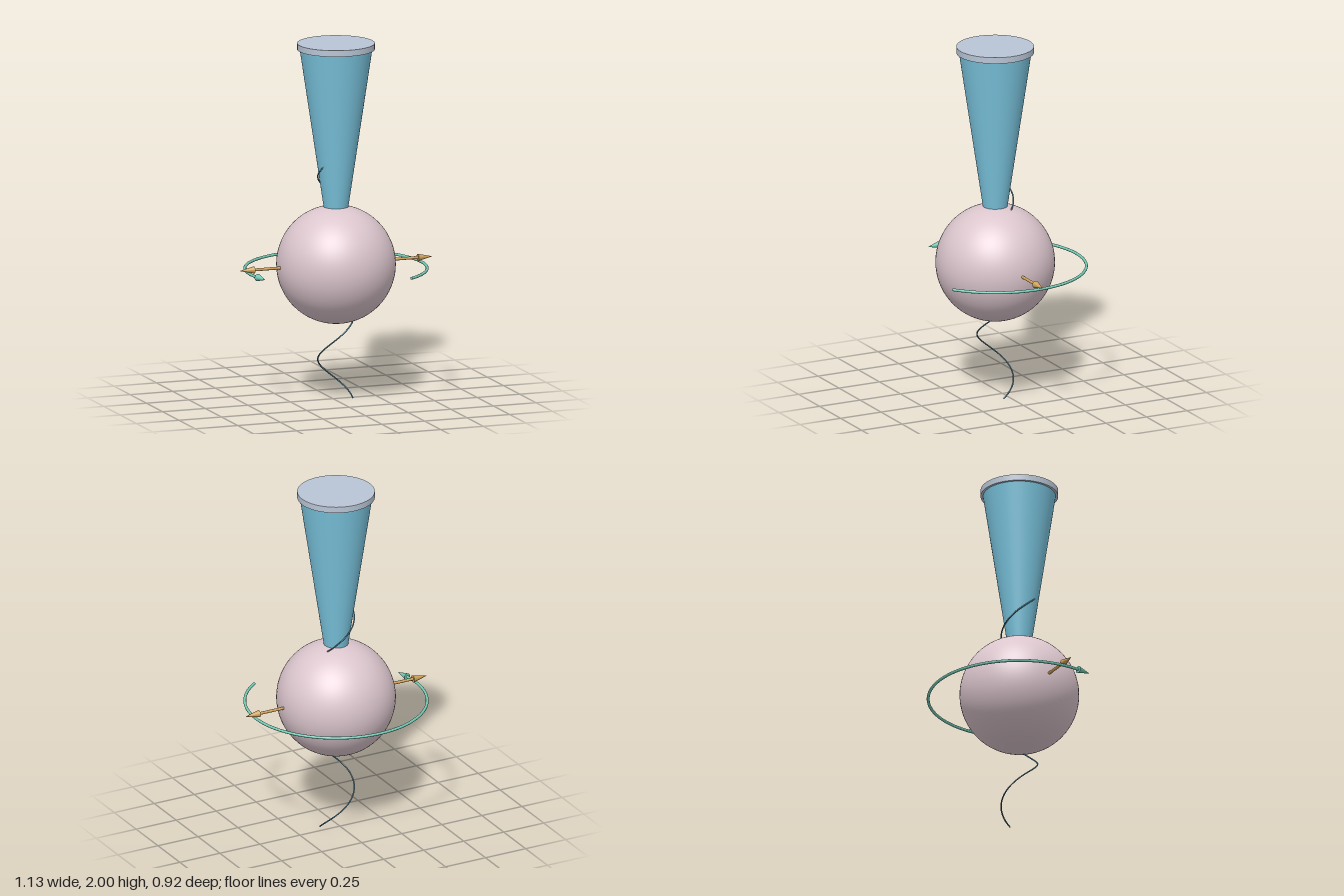
import * as THREE from 'three';

const CZ = 0.045; // common vertical axis lies at z = CZ
const UP = new THREE.Vector3(0, 1, 0);

function material(name, color) {
  const m = new THREE.MeshStandardMaterial({ color });
  m.name = name;
  return m;
}

// Smooth path given by a function of t in 0..1
class PathCurve extends THREE.Curve {
  constructor(fn) {
    super();
    this.fn = fn;
  }
  getPoint(t, target = new THREE.Vector3()) {
    return target.set(...this.fn(t));
  }
}

export function createModel() {
  const pink = material('pale pink', 0xdcc6ce);
  const blue = material('sky blue', 0x7ac4de);
  const grey = material('blue grey', 0xb9c5d5);
  const gold = material('gold', 0xd0a25c);
  const teal = material('teal', 0x74cbb6);
  const slate = material('slate blue', 0x55859a);

  const model = new THREE.Group();
  model.name = 'model';
  const axis = new THREE.Group();
  axis.name = 'axisGroup';
  axis.position.z = CZ;
  model.add(axis);

  function add(name, geometry, mat, parent = axis) {
    const mesh = new THREE.Mesh(geometry, mat);
    mesh.name = name;
    parent.add(mesh);
    return mesh;
  }

  // Arrow head with its base at a point, aimed along a direction
  function arrowHead(name, mat, base, direction, length, parent = axis) {
    const geometry = new THREE.ConeGeometry(0.02, length, 32).translate(0, length / 2, 0);
    const head = add(name, geometry, mat, parent);
    head.position.copy(base);
    head.quaternion.setFromUnitVectors(UP, direction);
  }

  // Ball
  add('ball', new THREE.SphereGeometry(0.328, 64, 48), pink).position.y = 0.763;

  // Flaring beam on top of the ball, closed by a disc
  add('beam', new THREE.CylinderGeometry(0.2, 0.068, 0.885, 64), blue).position.y = 1.5275;
  add('disc', new THREE.CylinderGeometry(0.213, 0.213, 0.035, 64), grey).position.y = 1.9825;

  // Helical thread rising through the ball into the beam
  const turns = 3, pitch = 0.511;
  const helix = new PathCurve((t) => {
    const a = t * turns * Math.PI * 2;
    return [0.1 * Math.cos(a), 0.004 + t * turns * pitch, -0.1 * Math.sin(a)];
  });
  add('helixThread', new THREE.TubeGeometry(helix, 240, 0.004, 8), slate);

  // Pair of sideways arrows
  for (const side of [1, -1]) {
    const arrow = new THREE.Group();
    arrow.name = side > 0 ? 'leftArrow' : 'rightArrow';
    axis.add(arrow);
    const shaft = add('arrowShaft', new THREE.CylinderGeometry(0.008, 0.008, 0.19, 16), gold, arrow);
    shaft.rotation.z = Math.PI / 2;
    shaft.position.set(side * 0.39, 0.765, 0);
    arrowHead('arrowTip', gold, new THREE.Vector3(side * 0.48, 0.765, 0), new THREE.Vector3(side, 0, 0), 0.086, arrow);
  }

  // Curved arrow sweeping around the back of the ball
  const R = 0.5, ringY = 0.74;
  const start = THREE.MathUtils.degToRad(55), end = THREE.MathUtils.degToRad(-190);
  const arc = new PathCurve((t) => {
    const a = start + (end - start) * t;
    return [R * Math.cos(a), ringY, R * Math.sin(a)];
  });
  add('spinArc', new THREE.TubeGeometry(arc, 128, 0.008, 12), teal);
  arrowHead('spinArrowTip', teal, arc.getPoint(1), new THREE.Vector3(Math.sin(end), 0, -Math.cos(end)), 0.08);

  // Cap on the open start of the curved arrow
  const cap = add('spinArcCap', new THREE.CircleGeometry(0.008, 12), teal);
  cap.position.copy(arc.getPoint(0));
  cap.quaternion.setFromUnitVectors(new THREE.Vector3(0, 0, 1), arc.getTangent(0).negate());

  return model;
}
